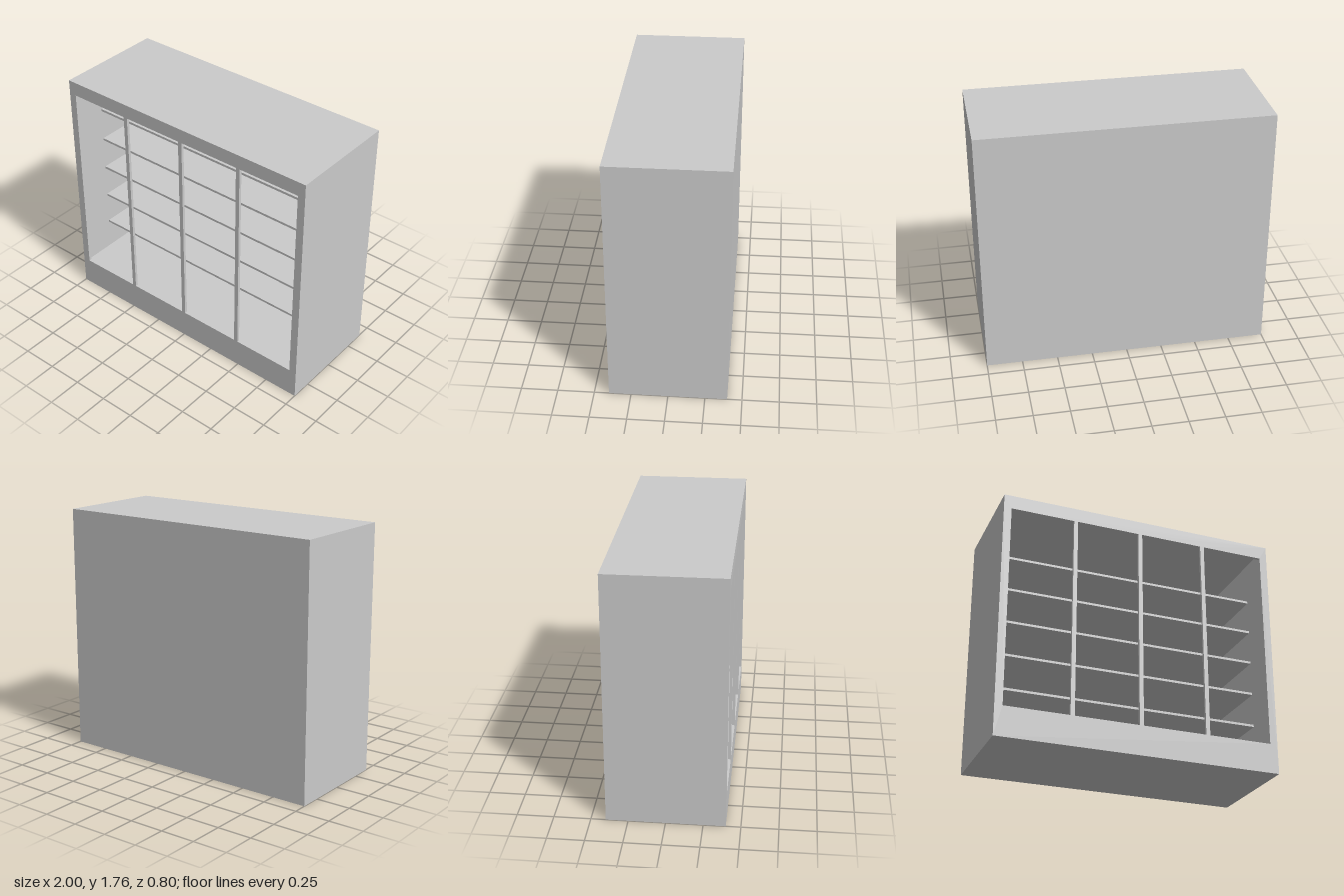
import * as THREE from 'three';

const W = 2, H = 1.76, D = 0.8;
const WALL = 0.04, BACK = 0.015, LIP = 0.02;
const FLOOR = 0.21, OPEN_TOP = 1.66;

export function createModel() {
  const group = new THREE.Group();
  const material = new THREE.MeshStandardMaterial({ color: 0xcccccc, flatShading: true });

  const add = (name, geometry, x, y, z) => {
    const mesh = new THREE.Mesh(geometry, material);
    mesh.name = name;
    mesh.position.set(x, y, z);
    group.add(mesh);
  };

  // Box given by its min and max corners
  const box = (name, [x0, y0, z0], [x1, y1, z1]) =>
    add(name, new THREE.BoxGeometry(x1 - x0, y1 - y0, z1 - z0),
      (x0 + x1) / 2, (y0 + y1) / 2, (z0 + z1) / 2);

  const rectangle = (PathType, x0, y0, x1, y1) =>
    new PathType([[x0, y0], [x1, y0], [x1, y1], [x0, y1]].map(p => new THREE.Vector2(...p)));

  const zBack = -D / 2, zLip = D / 2 - LIP;
  const xIn = W / 2 - WALL, zIn = zBack + BACK;

  // Carcass: sides, base, top and back
  box('rightSide', [-W / 2, 0, zBack], [-xIn, H, zLip]);
  box('leftSide', [xIn, 0, zBack], [W / 2, H, zLip]);
  box('base', [-xIn, 0, zBack], [xIn, FLOOR, zLip]);
  box('topPanel', [-xIn, H - WALL, zBack], [xIn, H, zLip]);
  box('backPanel', [-xIn, FLOOR, zBack], [xIn, H - WALL, zIn]);

  // Thin front frame with four tall openings
  const frame = rectangle(THREE.Shape, -W / 2, 0, W / 2, H);
  const bay = 0.451, pitch = 0.48;
  for (let i = 0; i < 4; i++) {
    const cx = (i - 1.5) * pitch;
    frame.holes.push(rectangle(THREE.Path, cx - bay / 2, FLOOR, cx + bay / 2, OPEN_TOP));
  }
  add('frontFrame', new THREE.ExtrudeGeometry(frame, { depth: LIP, bevelEnabled: false }), 0, 0, zLip);

  // Full-width shelves set back behind the frame
  const shelfFront = D / 2 - 0.25, thickness = 0.017;
  for (let i = 0; i < 5; i++) {
    const top = 0.444 + i * 0.2465;
    box('shelf' + (i + 1), [-xIn, top - thickness, zIn], [xIn, top, shelfFront]);
  }

  return group;
}
